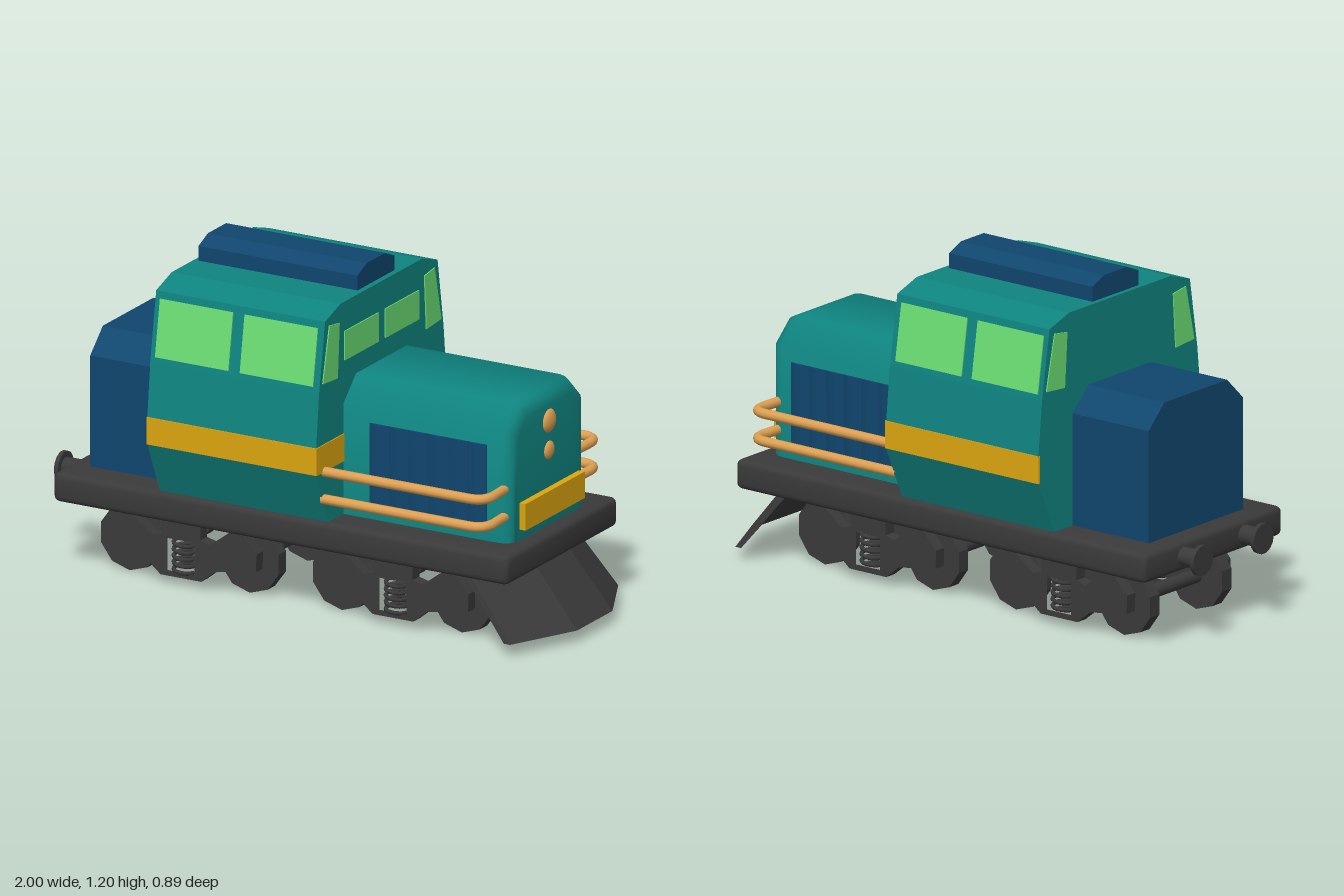
import * as THREE from 'three';
import { toCreasedNormals } from 'three/addons/utils/BufferGeometryUtils.js';
import { RoundedBoxGeometry } from 'three/addons/geometries/RoundedBoxGeometry.js';

function mat(name, color) {
  const m = new THREE.MeshStandardMaterial({ color });
  m.name = name;
  return m;
}

export function createModel() {
  const teal = mat('teal', 0x0f8480), blue = mat('deep blue', 0x10466e);
  const green = mat('window green', 0x6bdd72), yellow = mat('yellow', 0xdca50f);
  const copper = mat('copper', 0xdea052), dark = mat('charcoal', 0x3a3a3a);

  const model = new THREE.Group();
  model.name = 'locomotive';

  function add(name, geo, material, x = 0, y = 0, z = 0, parent = model) {
    const m = new THREE.Mesh(geo, material);
    m.name = name;
    m.position.set(x, y, z);
    parent.add(m);
    return m;
  }
  const box = (w, h, d) => new THREE.BoxGeometry(w, h, d);
  const shapeOf = pts => new THREE.Shape(pts.map(p => new THREE.Vector2(p[0], p[1])));
  const mirrored = half => [...half, ...half.slice().reverse().map(([a, b]) => [-a, b])];
  const extrude = (shape, depth, opts = {}) =>
    new THREE.ExtrudeGeometry(shape, { depth, bevelEnabled: false, ...opts });
  // Symmetric (z, y) half profile swept along x
  const sweep = (half, x0, x1) =>
    extrude(shapeOf(mirrored(half)), x1 - x0).rotateY(Math.PI / 2).translate(x0, 0, 0);
  const cyl = (r, length, sides) => new THREE.CylinderGeometry(r, r, length, sides);

  // Running platform
  add('platform', toCreasedNormals(new RoundedBoxGeometry(1.79, 0.105, 0.75, 2, 0.022), 0.7),
    dark, -0.02, 0.3075, 0);

  // Cab
  add('cab', sweep([[0.353, 0.355], [0.44, 0.55], [0.44, 0.648], [0.42, 0.84],
    [0.38, 1.086], [0.275, 1.12]], -0.503, 0.161), teal);
  add('frontStripe', box(0.008, 0.098, 0.882), yellow, 0.161, 0.6, 0);
  for (const s of [1, -1]) {
    add('sideStripe', box(0.668, 0.098, 0.008), yellow, -0.171, 0.6, s * 0.439);
    for (const x of [-0.34, -0.007]) {
      const w = add('sideWindow', box(0.288, 0.203, 0.009), green, x, 0.96, s * 0.4004);
      w.rotation.x = -s * 0.162;
    }
    // End windows: slanted corner panes on both ends, square panes at the front
    const pane = shapeOf([[0.355, 1.065], [0.287, 1.055], [0.3, 0.86], [0.4, 0.868]]
      .map(([z, y]) => [-s * z, y]));
    for (const x of [-0.507, 0.157])
      add('cornerWindow', extrude(pane, 0.008).rotateY(Math.PI / 2), green, x, 0, 0);
    add('frontWindow', box(0.008, 0.105, 0.228), green, 0.161, 0.963, s * 0.137);
  }
  add('roofBox', sweep([[0.125, 1.11], [0.125, 1.173], [0.062, 1.2]], -0.485, 0.14), blue);

  // Hoods
  const hoodHalf = [[0.255, 0.3], [0.255, 0.758], [0.17, 0.84]];
  add('rearHood', sweep(hoodHalf, -0.835, -0.49), blue);
  const hood = extrude(shapeOf(mirrored(hoodHalf)), 0.66, {
    bevelEnabled: true, bevelThickness: 0.055, bevelSize: 0.05, bevelOffset: -0.05, bevelSegments: 4,
  }).rotateY(Math.PI / 2).translate(0.105, 0, 0);
  add('frontHood', toCreasedNormals(hood, 0.85), teal);

  // Corrugated grilles on the hood sides
  for (const s of [1, -1]) {
    const pts = [[0.265, -s * 0.235]];
    for (let i = 0; i <= 36; i++)
      pts.push([0.265 + 0.46 * i / 36, -s * (0.257 + 0.009 * Math.abs(Math.sin(Math.PI * i / 6)))]);
    pts.push([0.725, -s * 0.235]);
    add('grille', toCreasedNormals(extrude(shapeOf(pts), 0.295).rotateX(-Math.PI / 2), 0.6),
      blue, 0, 0.41, 0);
  }

  // Nose details
  add('nosePlate', box(0.03, 0.095, 0.4), yellow, 0.83, 0.448, 0);
  for (const [y, r] of [[0.733, 0.042], [0.628, 0.033]])
    add('headlight', new THREE.SphereGeometry(r, 20, 14), copper, 0.818, y, 0).scale.x = 0.45;

  // Handrails
  for (const s of [1, -1]) for (const y of [0.551, 0.452]) {
    const path = new THREE.CurvePath();
    const v = (x, z) => new THREE.Vector3(x, y, s * z);
    path.add(new THREE.LineCurve3(v(0.155, 0.388), v(0.73, 0.388)));
    path.add(new THREE.QuadraticBezierCurve3(v(0.73, 0.388), v(0.79, 0.388), v(0.79, 0.325)));
    path.add(new THREE.LineCurve3(v(0.79, 0.325), v(0.785, 0.225)));
    add('handrail', new THREE.TubeGeometry(path, 50, 0.0175, 10), copper);
    add('handrailEnd', new THREE.SphereGeometry(0.0175, 10, 8), copper, 0.785, y, s * 0.225);
  }

  // Plough: thin V-shaped blade, raked back towards the top
  const blade = extrude(shapeOf([[0.88, 0.365], [1, 0.12], [1, -0.12], [0.88, -0.365],
    [0.855, -0.365], [0.97, -0.11], [0.97, 0.11], [0.855, 0.365]]), 0.225).rotateX(-Math.PI / 2);
  const p = blade.attributes.position;
  for (let i = 0; i < p.count; i++) {
    const t = p.getY(i) / 0.225;
    p.setX(i, p.getX(i) - 0.185 * t);
    p.setZ(i, p.getZ(i) * (1 - 0.085 * t));
  }
  blade.computeVertexNormals();
  add('plough', blade, dark, 0, 0.045, 0);

  // Buffers
  for (const z of [0.164, -0.164]) {
    add('bufferShaft', cyl(0.034, 0.09, 14).rotateZ(Math.PI / 2), dark, -0.945, 0.308, z);
    add('bufferHead', cyl(0.054, 0.016, 14).rotateZ(Math.PI / 2), dark, -0.992, 0.308, z);
  }

  // Bogies: side frames with a spring opening, wheels and axles
  const frame = shapeOf(mirrored([[0.077, 0.27], [0.077, 0.178], [0.115, 0.168], [0.19, 0.225],
    [0.235, 0.23], [0.297, 0.165], [0.295, 0.1], [0.135, 0.075], [0.08, 0.03]]));
  frame.holes.push(new THREE.Path([[-0.053, 0.05], [-0.053, 0.165], [0.053, 0.165], [0.053, 0.05]]
    .map(q => new THREE.Vector2(q[0], q[1]))));
  const coil = [];
  for (let i = 0; i <= 60; i++) {
    const a = i / 60 * Math.PI * 10;
    coil.push(new THREE.Vector3(0.036 * Math.cos(a), 0.048 + 0.12 * i / 60, 0.036 * Math.sin(a)));
  }
  const spring = new THREE.TubeGeometry(new THREE.CatmullRomCurve3(coil), 120, 0.0075, 6);
  const wheel = toCreasedNormals(cyl(0.119, 0.05, 10).rotateX(Math.PI / 2), 0.3);
  for (const x of [-0.464, 0.37]) {
    const bogie = new THREE.Group();
    bogie.name = 'bogie';
    bogie.position.x = x;
    model.add(bogie);
    for (const s of [1, -1]) {
      add('sideFrame', extrude(frame, 0.045), dark, 0, 0, s * 0.2575 - 0.0225, bogie);
      add('spring', spring, dark, 0, 0, s * 0.2575, bogie);
      for (const dx of [-0.236, 0.236]) add('wheel', wheel, dark, dx, 0.119, s * 0.195, bogie);
    }
    for (const dx of [-0.236, 0.236])
      add('axle', cyl(0.025, 0.5, 12).rotateX(Math.PI / 2), dark, dx, 0.119, 0, bogie);
  }
  return model;
}
